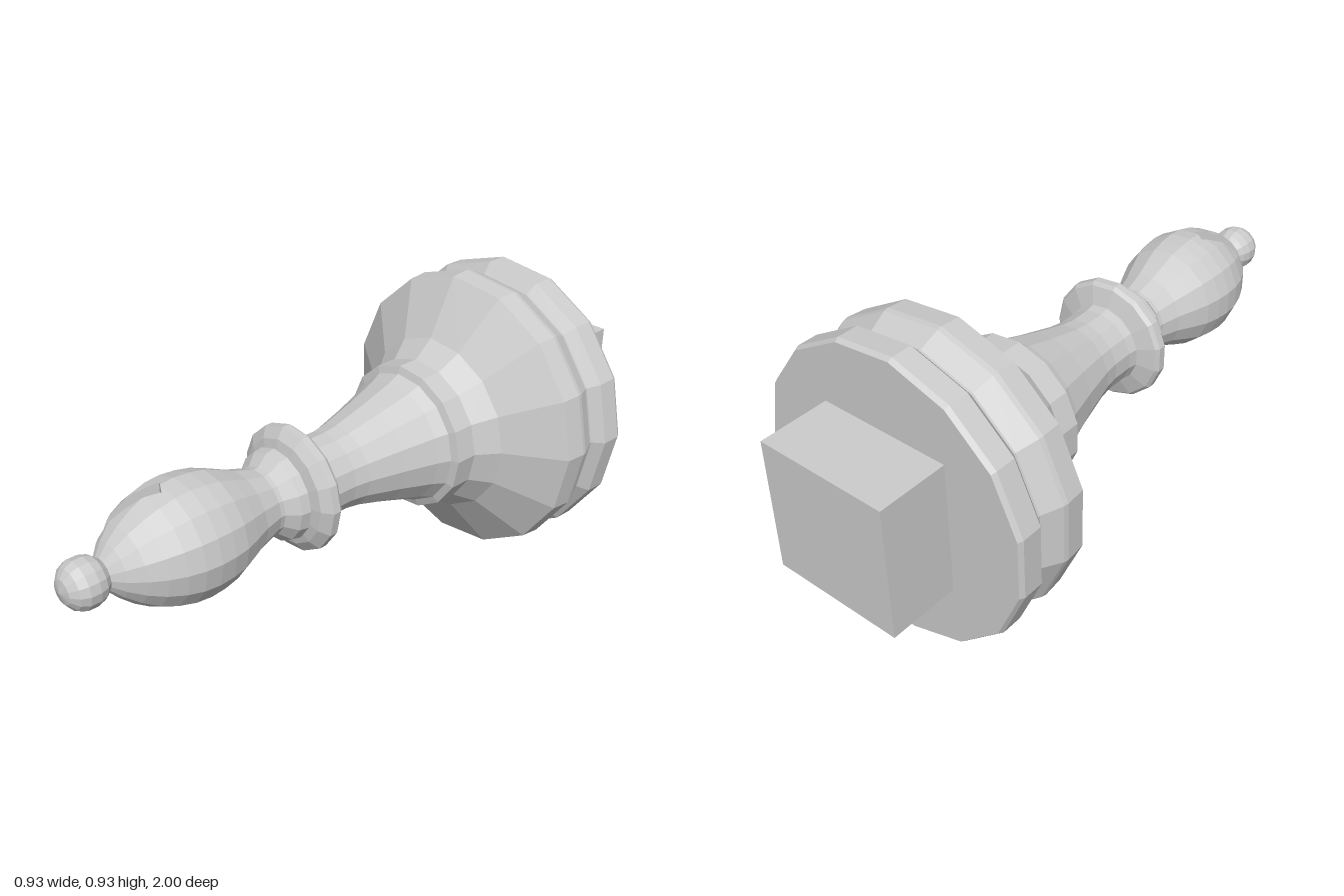
import * as THREE from 'three';

const SIDES = 15;
const mat = new THREE.MeshStandardMaterial({ color: 0xcccccc, flatShading: true });
const slotMat = new THREE.MeshStandardMaterial({ color: 0xcccccc, flatShading: true, side: THREE.DoubleSide });

// profiles as [radius, z], running from the back to the front
const BASE = [[0, -0.78], [0.46, -0.78], [0.468, -0.765], [0.468, -0.7], [0.435, -0.672], [0.435, -0.665],
  [0.465, -0.605], [0.468, -0.59], [0.463, -0.525], [0.289, -0.41], [0.239, -0.34], [0.239, -0.268], [0.215, -0.26]];
const NECK = [[0.215, -0.26], [0.198, -0.22], [0.165, -0.11], [0.134, 0.01], [0.127, 0.06], [0.127, 0.13], [0.132, 0.16]];
const COLLAR = [[0.132, 0.16], [0.19, 0.178], [0.2, 0.19], [0.2, 0.215], [0.168, 0.238], [0.128, 0.247],
  [0.145, 0.255], [0.14, 0.285], [0.108, 0.32]];
const HEAD = [[0.108, 0.32], [0.108, 0.335], [0.127, 0.4], [0.151, 0.455], [0.171, 0.505], [0.181, 0.555], [0.185, 0.605],
  [0.181, 0.655], [0.168, 0.705], [0.146, 0.755], [0.117, 0.8], [0.082, 0.84], [0.048, 0.87]];
const KNOB = [[0.048, 0.87], [0.066, 0.89], [0.074, 0.915], [0.074, 0.947], [0.062, 0.972], [0.038, 0.991], [0, 1]];

function turned(profile) {
  const pts = profile.map(([r, z]) => new THREE.Vector2(r, z));
  return new THREE.LatheGeometry(pts, SIDES, Math.PI / 2).rotateX(Math.PI / 2);
}

// slot frame in the x-z plane: D runs out of the head, N crosses the slot
const A = new THREE.Vector2(-0.04, 0.64);
const D = new THREE.Vector2(-0.475, 0.88).normalize();
const N = new THREE.Vector2(D.y, -D.x);
const WIDTH = 0.055;
const along = (p) => (p.x - A.x) * D.x + (p.z - A.y) * D.y;
const across = (p) => (p.x - A.x) * N.x + (p.z - A.y) * N.y;

// part of a convex polygon where f >= 0
function clip(poly, f) {
  const out = [];
  poly.forEach((p, i) => {
    const q = poly[(i + 1) % poly.length];
    const a = f(p), b = f(q);
    if (a >= 0) out.push(p);
    if ((a >= 0) !== (b >= 0)) out.push(p.clone().lerp(q, a / (a - b)));
  });
  return out;
}

// head skin with the slot taken out
function slottedSkin() {
  const pos = turned(HEAD).toNonIndexed().attributes.position;
  const inside = [along, across, (p) => WIDTH - across(p)];
  const points = [];
  for (let i = 0; i < pos.count; i += 3) {
    let rest = [0, 1, 2].map((k) => new THREE.Vector3().fromBufferAttribute(pos, i + k));
    for (const f of inside) {
      const keep = clip(rest, (p) => -f(p));
      for (let k = 1; k < keep.length - 1; k++) points.push(keep[0], keep[k], keep[k + 1]);
      rest = clip(rest, f);
    }
  }
  const geo = new THREE.BufferGeometry().setFromPoints(points);
  geo.computeVertexNormals();
  return geo;
}

// half the height of the head's many-sided section at (x, z)
function halfHeight(x, z) {
  const i = HEAD.findIndex((p) => p[1] > z);
  if (i < 1) return 0;
  const [r0, z0] = HEAD[i - 1], [r1, z1] = HEAD[i];
  const r = r0 + (r1 - r0) * (z - z0) / (z1 - z0);
  for (let k = 0; k < SIDES / 2; k++) {
    const a = k * 2 * Math.PI / SIDES, b = a + 2 * Math.PI / SIDES;
    const xa = r * Math.cos(a), xb = r * Math.cos(b);
    if (x <= xa && x >= xb) {
      return Math.max(0, r * (Math.sin(a) + (Math.sin(b) - Math.sin(a)) * (xa - x) / (xa - xb)));
    }
  }
  return 0;
}

// flat slot face standing on the line from p to q, trimmed to the head
function slotFace(p, q) {
  const geo = new THREE.PlaneGeometry(1, 1, 32, 1);
  const pos = geo.attributes.position;
  for (let i = 0; i < pos.count; i++) {
    const c = p.clone().lerp(q, pos.getX(i) + 0.5);
    pos.setXYZ(i, c.x, Math.sign(pos.getY(i)) * halfHeight(c.x, c.y), c.y);
  }
  geo.computeVertexNormals();
  return geo;
}

// point where a slot wall leaves the head
function exitFrom(start) {
  const p = start.clone();
  while (halfHeight(p.x, p.y) > 0) p.addScaledVector(D, 0.0005);
  return p.addScaledVector(D, -0.0005);
}

export function createModel() {
  const model = new THREE.Group();
  model.name = 'turnedPiece';
  const piece = new THREE.Group();
  piece.name = 'turnedBody';
  piece.position.set(-0.005, 0.4655, 0);
  model.add(piece);
  const add = (name, geo, parent = piece, material = mat) => {
    const mesh = new THREE.Mesh(geo, material);
    mesh.name = name;
    parent.add(mesh);
    return mesh;
  };

  add('base', turned(BASE));
  add('neck', turned(NECK));
  add('collar', turned(COLLAR));
  add('knob', turned(KNOB));

  // head with its slanted slot
  const head = new THREE.Group();
  head.name = 'head';
  piece.add(head);
  const B = A.clone().addScaledVector(N, WIDTH);
  add('headSkin', slottedSkin(), head);
  add('slotOuterWall', slotFace(A, exitFrom(A)), head, slotMat);
  add('slotInnerWall', slotFace(B, exitFrom(B)), head, slotMat);
  add('slotFloor', slotFace(A, B), head, slotMat);

  // square mounting block behind the base
  add('mountingBlock', new THREE.BoxGeometry(0.428, 0.428, 0.23), model).position.set(-0.008, 0.474, -0.885);
  return model;
}
